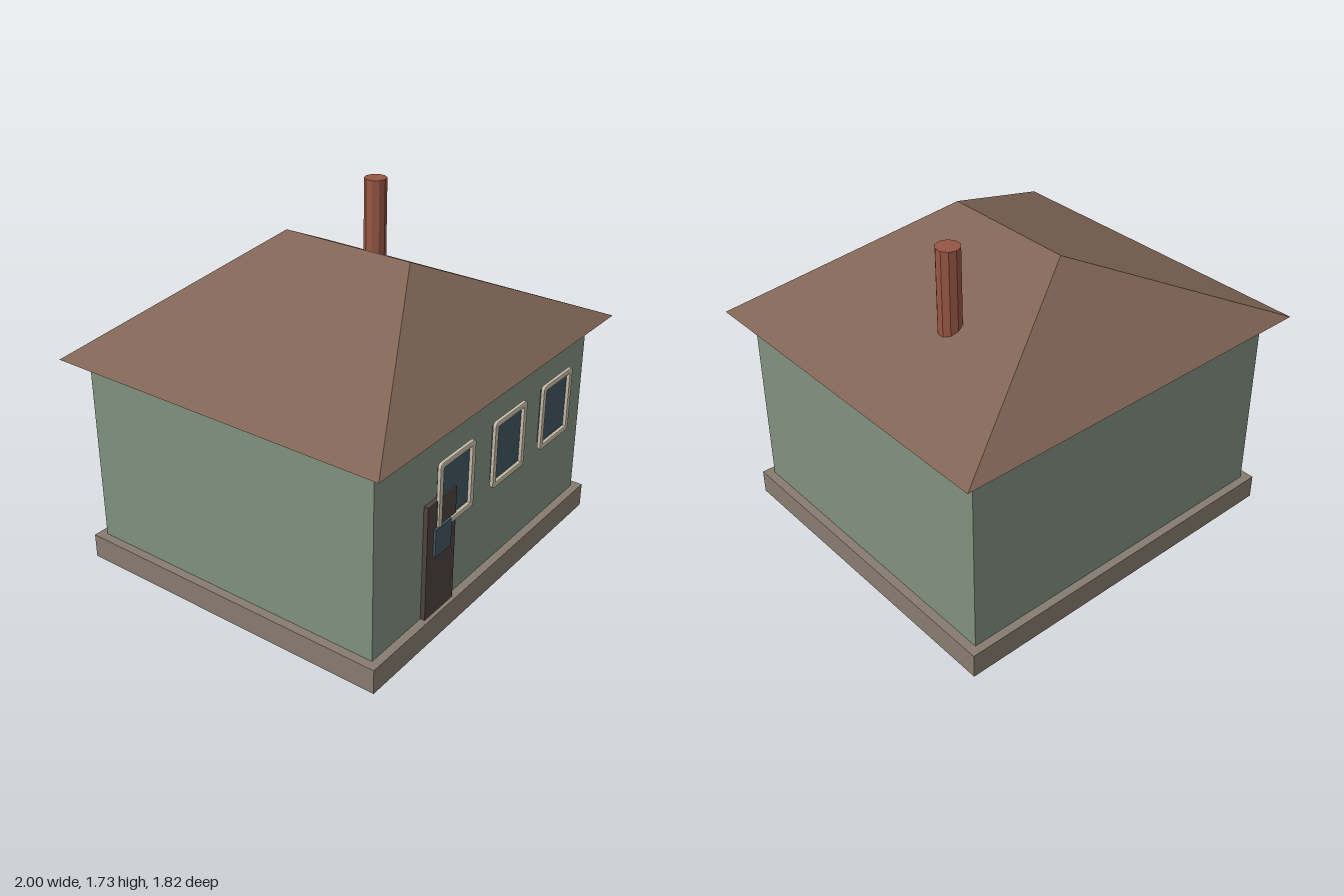
import * as THREE from 'three';

const material = (color) => new THREE.MeshStandardMaterial({ color, flatShading: true });
const wallMat = material(0x80907f);
const roofMat = material(0x806556);
const stoneMat = material(0x877b70);
const doorMat = material(0x4d423e);
const glassMat = material(0x40565f);
const trimMat = material(0xc6baa6);
const brickMat = material(0x965544);

// Box given by its minimum and maximum corners
function box(name, mat, [x0, y0, z0], [x1, y1, z1]) {
  const mesh = new THREE.Mesh(new THREE.BoxGeometry(x1 - x0, y1 - y0, z1 - z0), mat);
  mesh.name = name;
  mesh.position.set((x0 + x1) / 2, (y0 + y1) / 2, (z0 + z1) / 2);
  return mesh;
}

// Closed hip roof: four eave corners and a ridge running along z
function hipRoof(w, d, ridge, y0, y1) {
  const a = [-w, y0, d], b = [w, y0, d], c = [w, y0, -d], e = [-w, y0, -d];
  const f = [0, y1, ridge], g = [0, y1, -ridge];
  const triangles = [
    a, b, f, c, e, g, // front and back hips
    b, c, g, b, g, f, // left slope
    e, a, f, e, f, g, // right slope
    a, e, c, a, c, b, // underside
  ];
  const geo = new THREE.BufferGeometry();
  geo.setAttribute('position', new THREE.Float32BufferAttribute(triangles.flat(), 3));
  geo.computeVertexNormals();
  return geo;
}

function roundedRect(path, w, h, r) {
  path.moveTo(-w + r, -h);
  path.lineTo(w - r, -h);
  path.quadraticCurveTo(w, -h, w, -h + r);
  path.lineTo(w, h - r);
  path.quadraticCurveTo(w, h, w - r, h);
  path.lineTo(-w + r, h);
  path.quadraticCurveTo(-w, h, -w, h - r);
  path.lineTo(-w, -h + r);
  path.quadraticCurveTo(-w, -h, -w + r, -h);
  return path;
}

// Rounded, bevelled window surround, 0.02 deep
function frameGeometry() {
  const bevel = 0.006;
  const shape = roundedRect(new THREE.Shape(), 0.144 - bevel, 0.175 - bevel, 0.018);
  shape.holes.push(roundedRect(new THREE.Path(), 0.115 + bevel, 0.146 + bevel, 0.006));
  return new THREE.ExtrudeGeometry(shape, {
    depth: 0.008, bevelThickness: bevel, bevelSize: bevel, bevelSegments: 2, curveSegments: 4,
  });
}

export function createModel() {
  const house = new THREE.Group();
  house.name = 'house';

  // Body
  house.add(box('foundation', stoneMat, [-0.945, 0, -0.857], [0.945, 0.126, 0.857]));
  house.add(box('walls', wallMat, [-0.9, 0.126, -0.815], [0.9, 1.102, 0.815]));

  const roof = new THREE.Mesh(hipRoof(1, 0.908, 0.358, 1.102, 1.569), roofMat);
  roof.name = 'roof';
  house.add(roof);

  const chimney = new THREE.Mesh(new THREE.CylinderGeometry(0.058, 0.058, 0.53, 10), brickMat);
  chimney.name = 'chimney';
  chimney.position.set(0.503, 1.465, -0.197);
  house.add(chimney);

  // Door with its small pane
  house.add(box('door', doorMat, [-0.53, 0.126, 0.8], [-0.302, 0.721, 0.838]));
  house.add(box('doorPane', glassMat, [-0.48, 0.442, 0.83], [-0.352, 0.587, 0.85]));

  // Row of front windows
  const frameGeo = frameGeometry();
  for (const x of [-0.311, 0.144, 0.59]) {
    const win = new THREE.Group();
    win.name = 'window';
    win.position.set(x, 0.731, 0);
    win.add(box('glass', glassMat, [-0.12, -0.143, 0.8], [0.12, 0.143, 0.83]));
    const frame = new THREE.Mesh(frameGeo, trimMat);
    frame.name = 'windowFrame';
    frame.position.z = 0.834;
    win.add(frame);
    house.add(win);
  }
  return house;
}
